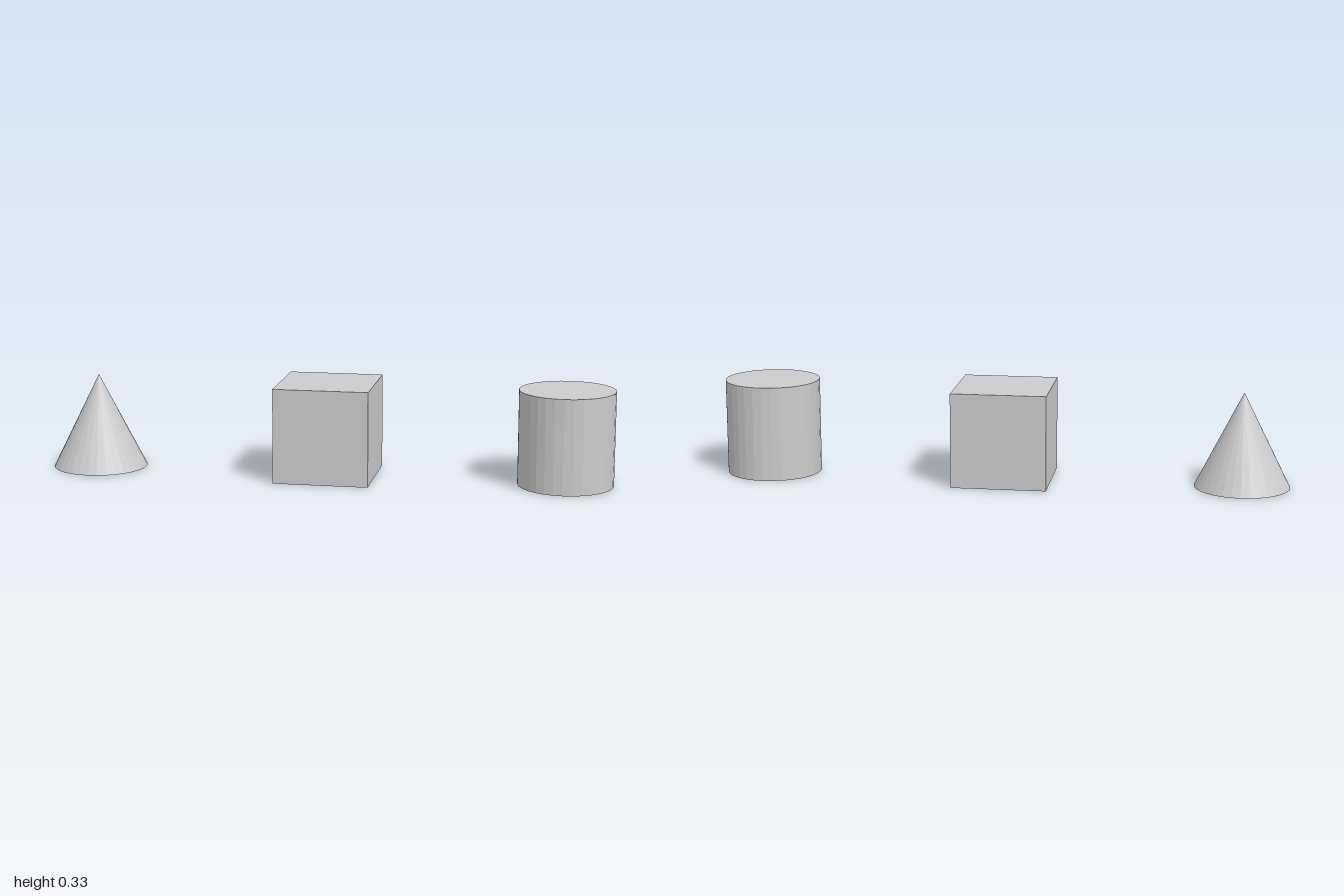
import * as THREE from 'three';

const SIZE = 1 / 3; // width, height and depth of every solid
const SPACING = 5 / 6; // distance between neighbouring centres
const SIDES = 32;

export function createModel() {
  const group = new THREE.Group();
  group.name = 'basicSolids';
  const material = new THREE.MeshStandardMaterial({ color: 0xcccccc, flatShading: true });

  // Three solids in a row, all standing on the ground
  const solids = [
    ['cone', new THREE.ConeGeometry(SIZE / 2, SIZE, SIDES)],
    ['cube', new THREE.BoxGeometry(SIZE, SIZE, SIZE)],
    ['cylinder', new THREE.CylinderGeometry(SIZE / 2, SIZE / 2, SIZE, SIDES)],
  ];
  solids.forEach(([name, geometry], i) => {
    const mesh = new THREE.Mesh(geometry, material);
    mesh.name = name;
    mesh.position.set((i - 1) * SPACING, SIZE / 2, 0);
    group.add(mesh);
  });

  return group;
}
